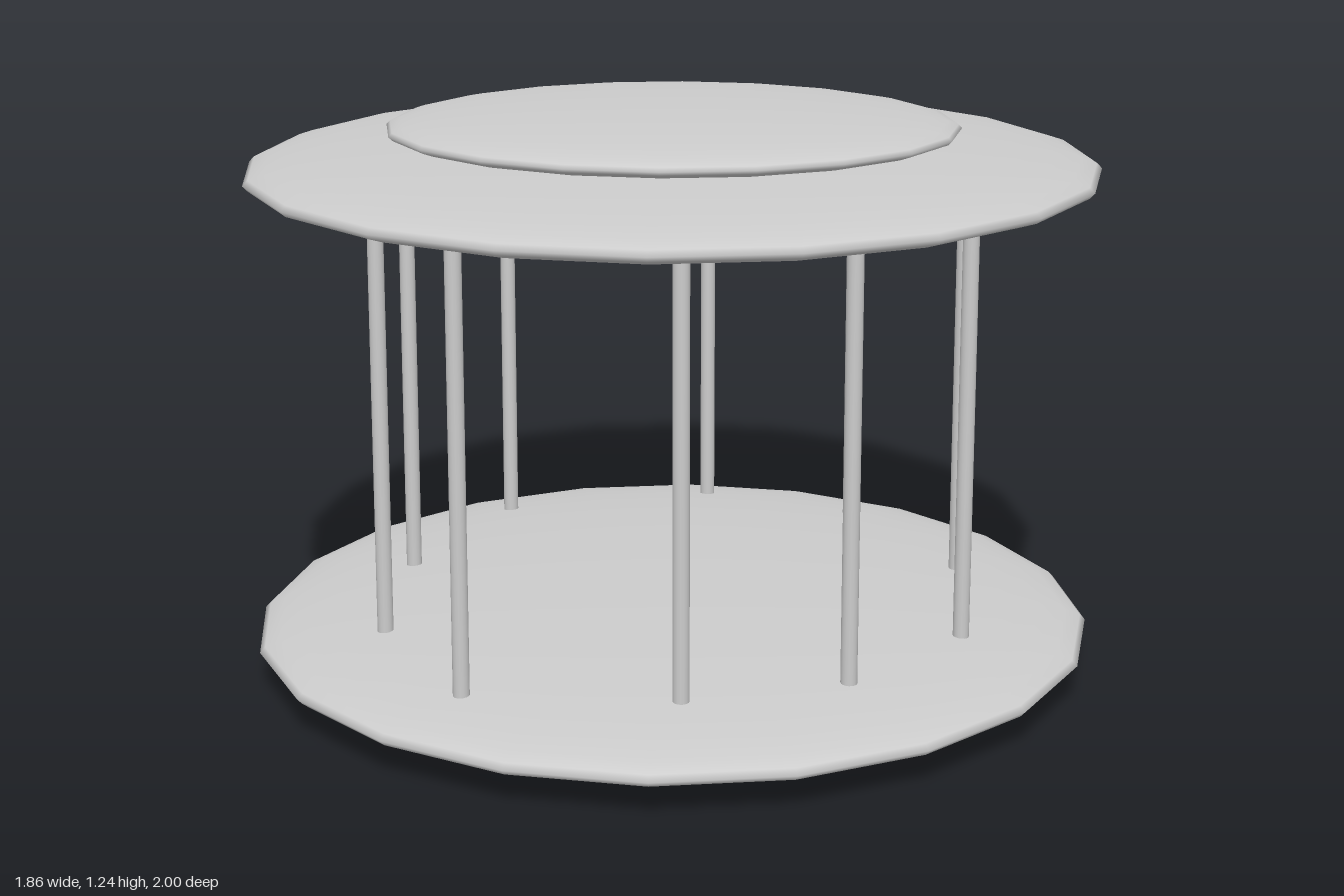
import * as THREE from 'three';

const grey = new THREE.MeshStandardMaterial({ color: 0xcccccc });

// Flattened 20-sided ellipsoid
function disc(name, rx, ry, rz, y, z = 0) {
  const geo = new THREE.SphereGeometry(1, 20, 20);
  geo.scale(rx, ry, rz);
  const mesh = new THREE.Mesh(geo, grey);
  mesh.name = name;
  mesh.position.set(0, y, z);
  return mesh;
}

export function createModel() {
  const model = new THREE.Group();
  model.name = 'pavilion';

  model.add(disc('base', 0.93, 0.0775, 1, 0.0775));
  model.add(disc('roof', 0.93, 0.0745, 1, 1.107));
  model.add(disc('roofCap', 0.627, 0.052, 0.587, 1.19, -0.013));

  // Ring of slightly irregularly spaced columns, [x, z], sunk into both discs
  const spots = [
    [0.05, 0.70], [0.39, 0.577], [0.636, 0.27], [0.65, -0.195], [0.41, -0.64],
    [0.05, -0.81], [-0.434, -0.64], [-0.61, -0.157], [-0.61, 0.297], [-0.40, 0.665],
  ];
  const bottom = 0.09, top = 1.09;
  const shaft = new THREE.CylinderGeometry(0.0175, 0.0175, top - bottom, 16);
  const columns = new THREE.Group();
  columns.name = 'columns';
  for (const [x, z] of spots) {
    const column = new THREE.Mesh(shaft, grey);
    column.name = 'column';
    column.position.set(x, (bottom + top) / 2, z);
    columns.add(column);
  }
  model.add(columns);

  return model;
}
